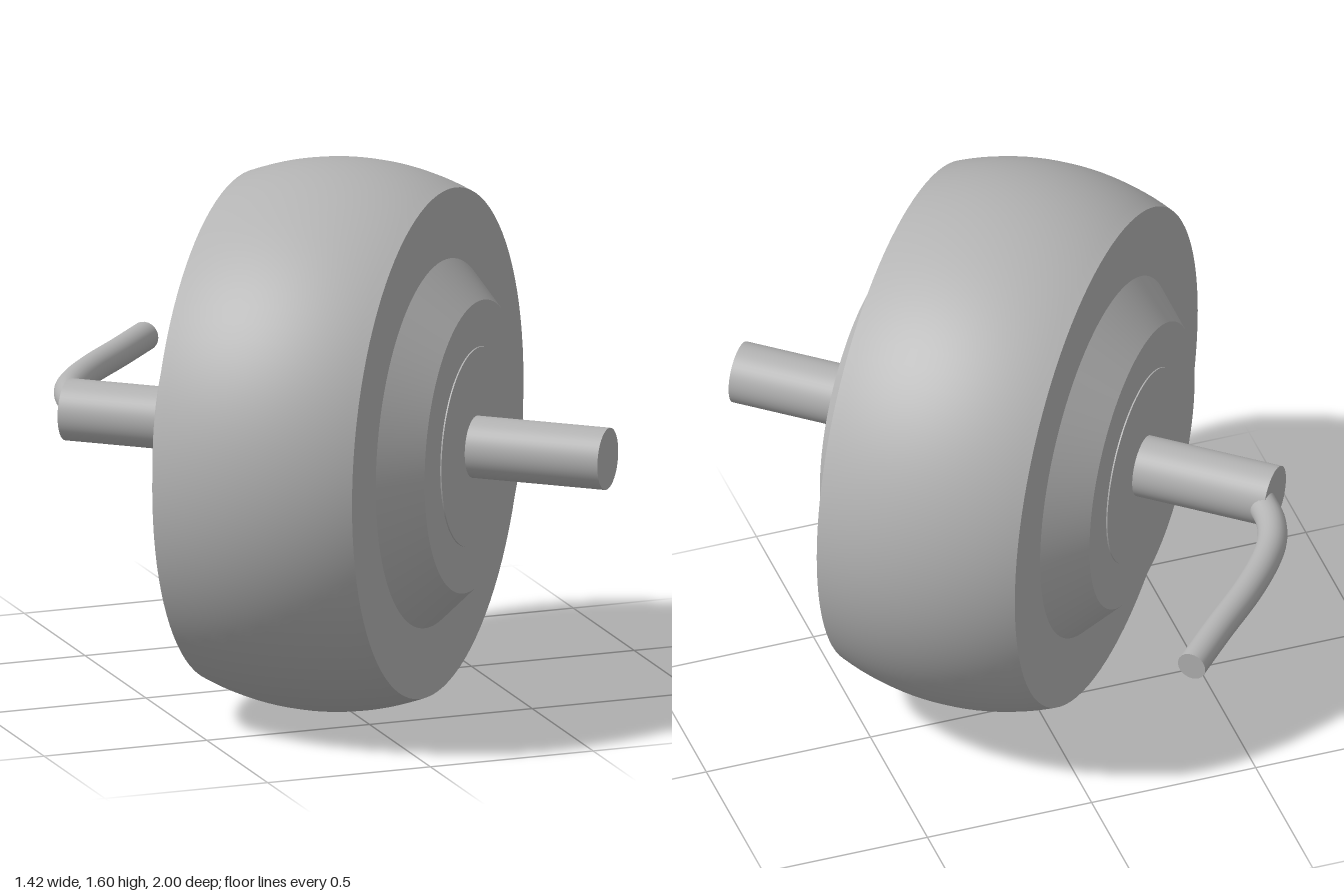
import * as THREE from 'three';
import { toCreasedNormals } from 'three/addons/utils/BufferGeometryUtils.js';

const CENTER = new THREE.Vector3(0, 0.8, 0.24);
const AXLE_ANGLE = THREE.MathUtils.degToRad(40);

// Solid of revolution whose axis lies along local x
function turned(name, profile, material, segments = 96) {
  const points = profile.map(([r, h]) => new THREE.Vector2(r, h));
  const geometry = toCreasedNormals(new THREE.LatheGeometry(points, segments), 0.5);
  geometry.rotateZ(-Math.PI / 2);
  const mesh = new THREE.Mesh(geometry, material);
  mesh.name = name;
  return mesh;
}

// Disc or drum profile, optionally chamfered, symmetric about the middle
function drum(...half) {
  const lower = half.map(([r, h]) => [r, -h]);
  return [...lower, ...half.slice().reverse()];
}

export function createModel() {
  const model = new THREE.Group();
  model.name = 'hubMotorWheel';
  const grey = new THREE.MeshStandardMaterial({ color: 0xb3b3b3 });
  grey.name = 'grey';

  const wheel = new THREE.Group();
  wheel.name = 'wheel';
  wheel.position.copy(CENTER);
  wheel.rotation.y = -AXLE_ANGLE;
  model.add(wheel);

  // Tyre: a slice of a sphere with flat sides
  const radius = 0.8, halfWidth = 0.305;
  const edge = Math.asin(halfWidth / radius);
  const tyre = [[0, -halfWidth]];
  for (let i = 0; i <= 20; i++) {
    const a = -edge + (2 * edge * i) / 20;
    tyre.push([radius * Math.cos(a), radius * Math.sin(a)]);
  }
  tyre.push([0, halfWidth]);
  wheel.add(turned('tyre', tyre, grey));

  // Chamfered hub, shallow cover plates and axle
  wheel.add(turned('hub', drum([0, 0.415], [0.425, 0.415], [0.535, 0.305]), grey));
  wheel.add(turned('coverPlates', drum([0, 0.419], [0.29, 0.419]), grey));
  wheel.add(turned('axle', drum([0, 0.824], [0.09, 0.824]), grey, 48));

  // Cable leaving the rear end of the axle
  const path = new THREE.CatmullRomCurve3([
    [-0.585, -0.3], [-0.582, -0.395], [-0.555, -0.485], [-0.5, -0.575],
    [-0.41, -0.685], [-0.275, -0.825], [-0.142, -0.968],
  ].map(([x, z]) => new THREE.Vector3(x, CENTER.y, z)));
  const cableRadius = 0.043;
  const cable = new THREE.Mesh(new THREE.TubeGeometry(path, 48, cableRadius, 24), grey);
  cable.name = 'cable';
  model.add(cable);

  // Flat caps on both cable ends
  for (const [t, sign] of [[0, -1], [1, 1]]) {
    const cap = new THREE.Mesh(new THREE.CircleGeometry(cableRadius, 24), grey);
    cap.name = 'cableEnd';
    cap.position.copy(path.getPointAt(t));
    cap.lookAt(cap.position.clone().addScaledVector(path.getTangentAt(t), sign));
    model.add(cap);
  }
  return model;
}
